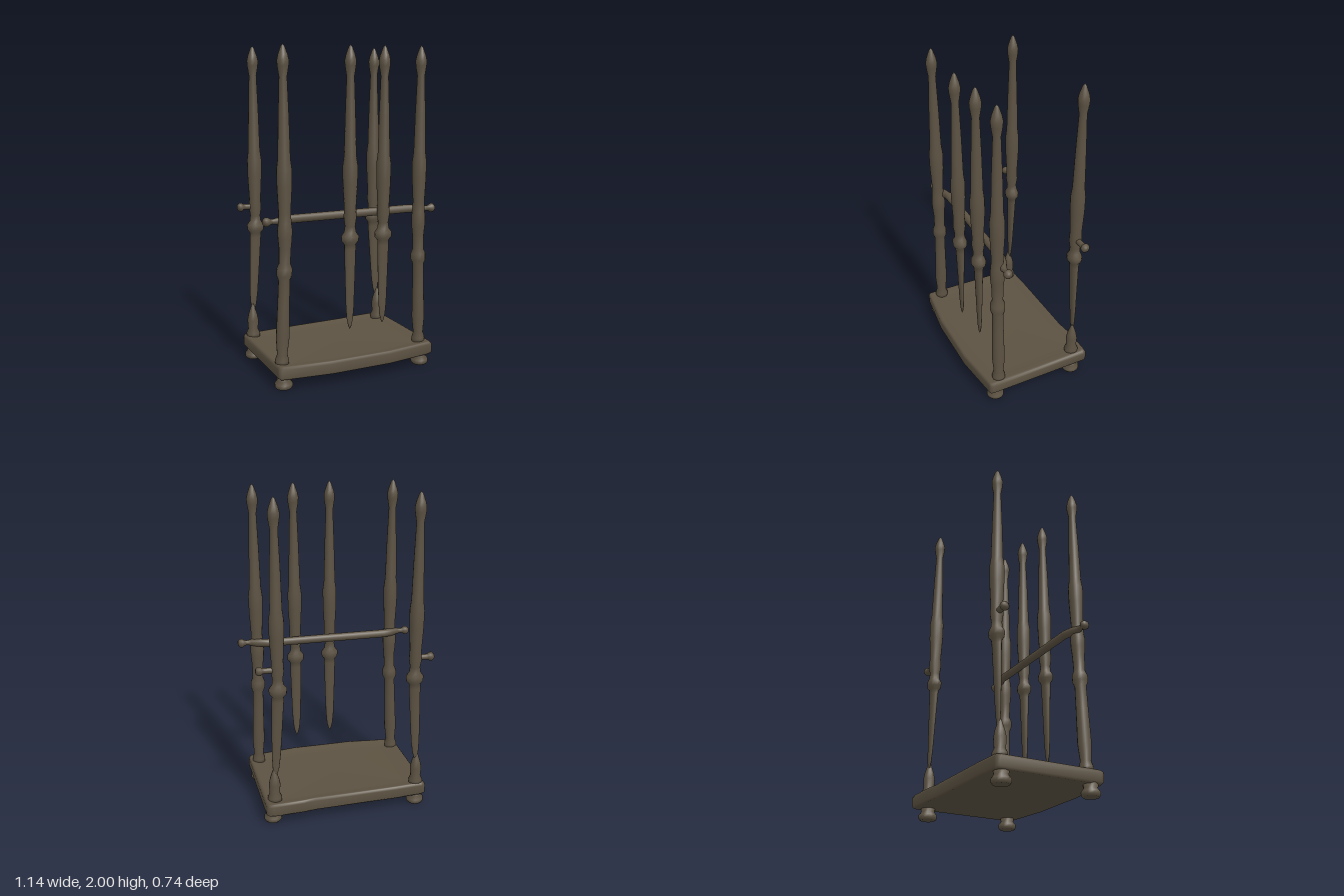
import * as THREE from 'three';

const wood = new THREE.MeshStandardMaterial({ color: 0x5c5242 });
wood.name = 'dark wood';

// Smooth closed skin through rings of equal length, ordered bottom to top
function skin(rings, name) {
  const n = rings[0].length, pos = [], idx = [];
  rings.forEach(r => r.forEach(p => pos.push(...p)));
  for (let i = 0; i < rings.length - 1; i++) {
    for (let j = 0; j < n; j++) {
      const k = (j + 1) % n;
      const a = i * n + j, b = i * n + k, c = a + n, d = b + n;
      idx.push(a, c, b, b, c, d);
    }
  }
  const g = new THREE.BufferGeometry();
  g.setAttribute('position', new THREE.Float32BufferAttribute(pos, 3));
  g.setIndex(idx);
  g.computeVertexNormals();
  const m = new THREE.Mesh(g, wood);
  m.name = name;
  return m;
}

// Turned part from sections [y, radius, depth radius, x shift, z shift]
function turned(sections, name, sides = 14) {
  const rings = sections.map(([y, rx, rz = rx, dx = 0, dz = 0]) =>
    Array.from({ length: sides }, (_, j) => {
      const a = (j / sides) * Math.PI * 2;
      return [dx + rx * Math.cos(a), y, dz + rz * Math.sin(a)];
    }));
  return skin(rings, name);
}

// Shared upper shaft with its pointed tip
const shaft = [
  [0.99, 0.039], [1.05, 0.036], [1.2, 0.044], [1.3, 0.045], [1.36, 0.037], [1.6, 0.031],
  [1.82, 0.023], [1.88, 0.033], [1.91, 0.035], [1.94, 0.028], [1.985, 0.012], [2.0, 0],
];
// Collar and flat tapering blade of the hanging spindles
const blade = [
  [0.30, 0, 0], [0.32, 0.010, 0.007], [0.36, 0.020, 0.010], [0.44, 0.027, 0.013],
  [0.6, 0.032, 0.018], [0.8, 0.037, 0.025], [0.83, 0.036, 0.030],
  [0.85, 0.053, 0.043], [0.88, 0.055, 0.044], [0.905, 0.036, 0.034], [0.94, 0.031],
];
// Lower half of the standing posts
const leg = [
  [0.13, 0], [0.13, 0.04], [0.165, 0.042], [0.2, 0.031], [0.3, 0.040], [0.5, 0.036], [0.65, 0.034],
  [0.68, 0.046], [0.72, 0.046], [0.75, 0.034], [0.84, 0.036], [0.9, 0.042], [0.95, 0.044],
];

// Shifts the lower half sideways by a steady lean
const lean = (sections, amount) => sections.map(([y, rx, rz = rx]) =>
  [y, rx, rz, amount * Math.max(0, 0.85 - y) / 0.7]);

function place(mesh, x, z, parent) {
  mesh.position.set(x, 0, z);
  parent.add(mesh);
}

export function createModel() {
  const model = new THREE.Group();
  model.name = 'spindleRack';

  // Slab with bowed front, rounded rim and shallow dished top
  const outline = [
    [0.522, 0.31], [0.517, 0.327], [0.5, 0.332], [0.2, 0.37], [-0.2, 0.37], [-0.505, 0.334],
    [-0.522, 0.328], [-0.525, 0.31], [-0.525, -0.31], [-0.52, -0.33], [-0.5, -0.337], [-0.33, -0.346],
    [0.2, -0.355], [0.28, -0.366], [0.47, -0.373], [0.5, -0.37], [0.511, -0.35],
  ];
  const levels = [
    [0.07, 0], [0.07, 0.9], [0.07, 0.975], [0.082, 1], [0.135, 1],
    [0.149, 0.98], [0.15, 0.95], [0.145, 0.88], [0.135, 0.75], [0.133, 0],
  ];
  model.add(skin(levels.map(([y, s]) => outline.map(([x, z]) => [x * s, y, z * s])), 'baseSlab'));

  // Bun feet
  const foot = [[0, 0], [0, 0.046], [0.012, 0.055], [0.03, 0.055], [0.05, 0.040], [0.08, 0.045], [0.08, 0]];
  for (const [x, z] of [[-0.475, 0.27], [0.46, 0.27], [-0.47, -0.28], [0.46, -0.28]]) {
    place(turned(foot, 'foot'), x, z, model);
  }

  // Front posts standing on the slab
  for (const [x, l] of [[-0.447, -0.028], [0.448, 0.014]]) {
    place(turned([...lean(leg, l), ...shaft], 'frontPost'), x, 0.247, model);
  }

  // Hanging spindles on the front rail
  for (const [x, z] of [[-0.04, 0.272], [0.195, 0.252]]) {
    place(turned([...blade, ...shaft], 'hangingSpindle'), x, z, model);
  }

  // Back posts: bladed spindles meeting short pointed stubs on the slab
  const stub = [[0.13, 0], [0.13, 0.042], [0.165, 0.044], [0.19, 0.032], [0.25, 0.036],
    [0.29, 0.028], [0.34, 0.012], [0.37, 0]];
  for (const [x, l, sx] of [[-0.437, -0.032, -0.468], [0.412, 0.034, 0.446]]) {
    place(turned([...lean(blade, l), ...shaft], 'backPost'), x, -0.293, model);
    place(turned(stub, 'backStub'), sx, -0.287, model);
  }

  // Front rail with knobbed ends, bowed backward between the posts
  const knob = [[0.49, 0.020], [0.515, 0.015], [0.53, 0.018], [0.545, 0.028], [0.56, 0.027], [0.572, 0.016], [0.572, 0]];
  const rightEnd = knob.map(([x, r]) => [x, r, r, 0, 0.228]);
  const leftEnd = knob.map(([x, r]) => [-x, r, r, 0, 0.228]).reverse();
  const middle = [[-0.45, 0.026, 0.026, 0, 0.215], [-0.39, 0.026, 0.024, 0, 0.197],
    [0, 0.026, 0.024, 0, 0.196], [0.39, 0.026, 0.024, 0, 0.193], [0.45, 0.026, 0.026, 0, 0.212]];
  const rail = turned([...leftEnd, ...middle, ...rightEnd], 'frontRail');
  rail.rotation.z = -Math.PI / 2;
  rail.position.y = 1.0;
  model.add(rail);

  // Short knobbed pegs on the outer sides of the back posts
  const peg = [[0, 0], [0, 0.02], [0.075, 0.017], [0.09, 0.018], [0.1, 0.027], [0.115, 0.027], [0.127, 0.016], [0.127, 0]];
  for (const [x, side] of [[-0.425, -1], [0.413, 1]]) {
    const p = turned(peg, 'backPeg');
    p.rotation.z = -side * Math.PI / 2;
    p.position.set(x, 1.0, -0.295);
    model.add(p);
  }

  return model;
}
